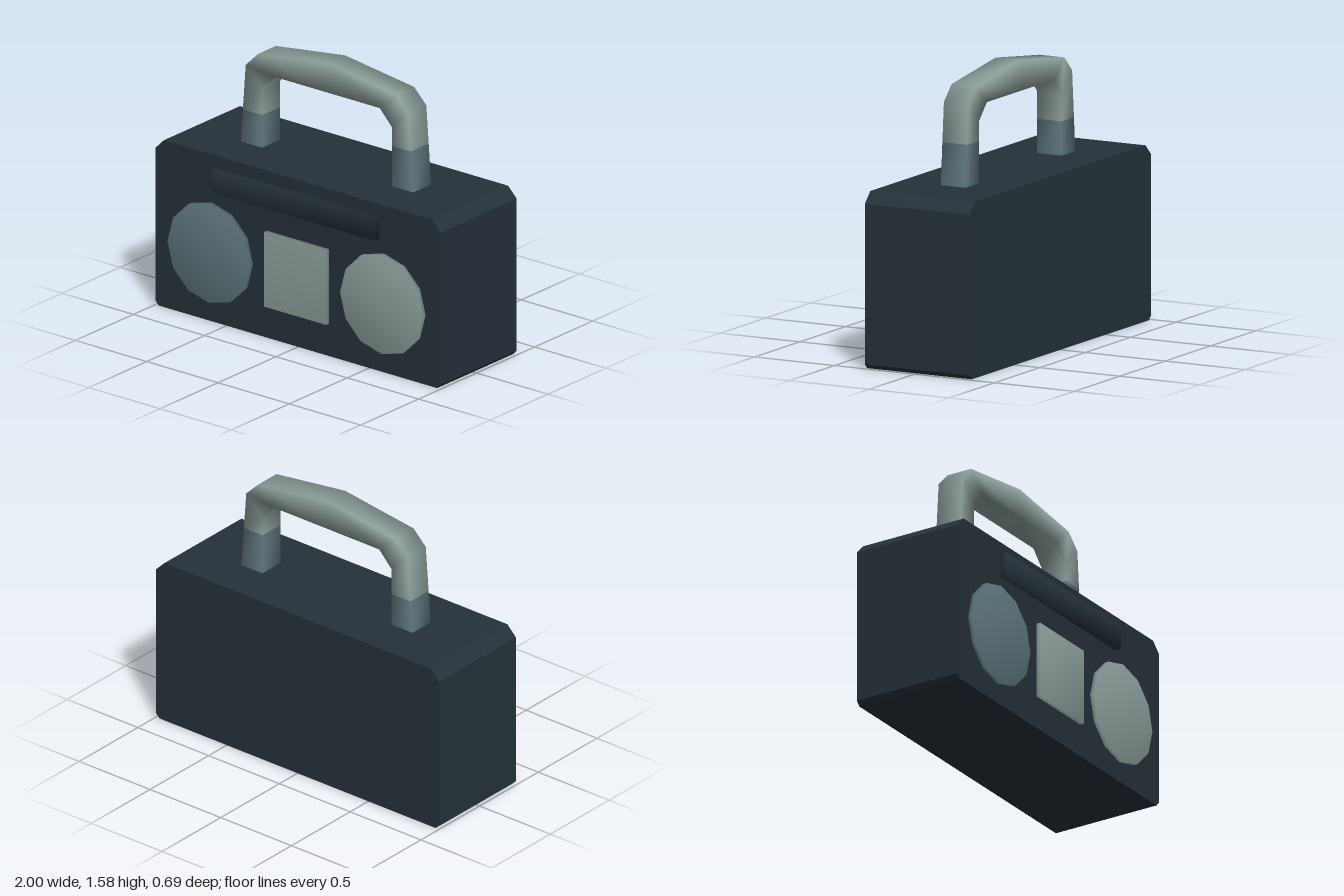
import * as THREE from 'three';
import { mergeVertices } from 'three/addons/utils/BufferGeometryUtils.js';

const paint = (name, color) => {
  const m = new THREE.MeshStandardMaterial({ color });
  m.name = name;
  return m;
};

// Share corner vertices so the normals blend over the edges
function smooth(geometry) {
  geometry.deleteAttribute('normal');
  geometry.deleteAttribute('uv');
  geometry.clearGroups();
  const merged = mergeVertices(geometry, 1e-4);
  merged.computeVertexNormals();
  return merged;
}

// Four-sided handle lofted through [inner, outer] pairs along its path
function handleGeometry(stations, zBack, zFront, materialOf) {
  const positions = [], index = [];
  for (const [ix, iy, ox, oy] of stations) {
    positions.push(ix, iy, zFront, ox, oy, zFront, ox, oy, zBack, ix, iy, zBack);
  }
  const g = new THREE.BufferGeometry();
  for (let s = 0; s < stations.length - 1; s++) {
    g.addGroup(index.length, 24, materialOf(s));
    for (let k = 0; k < 4; k++) {
      const a = s * 4 + k, b = s * 4 + (k + 1) % 4;
      index.push(a, b, b + 4, a, b + 4, a + 4);
    }
  }
  g.setAttribute('position', new THREE.Float32BufferAttribute(positions, 3));
  g.setIndex(index);
  g.computeVertexNormals();
  return g;
}

export function createModel() {
  const dark = paint('dark casing', 0x25313a);
  const slate = paint('slate blue', 0x5f787f);
  const pale = paint('pale grey', 0x8d9f9c);

  const model = new THREE.Group();
  model.name = 'portableStereo';
  const add = (name, geometry, material, x = 0, y = 0, z = 0) => {
    const mesh = new THREE.Mesh(geometry, material);
    mesh.name = name;
    mesh.position.set(x, y, z);
    model.add(mesh);
  };

  // Casing with chamfered long edges
  const outline = new THREE.Shape([
    [-0.975, 0], [0.975, 0], [1, 0.025], [1, 0.915],
    [0.94, 0.975], [-0.94, 0.975], [-1, 0.915], [-1, 0.025],
  ].map(([x, y]) => new THREE.Vector2(x, y)));
  add('casing', new THREE.ExtrudeGeometry(outline, { depth: 0.655, bevelEnabled: false }),
    dark, 0, 0, -0.345);

  // Speakers
  for (const [name, x, material] of [['rightSpeaker', -0.605, slate], ['leftSpeaker', 0.605, pale]]) {
    const disc = new THREE.CylinderGeometry(0.29, 0.29, 0.045, 12).rotateX(Math.PI / 2);
    add(name, smooth(disc), material, x, 0.405, 0.3125);
  }

  // Cassette door and control strip
  add('cassetteDoor', smooth(new THREE.BoxGeometry(0.436, 0.436, 0.045)), pale, 0, 0.407, 0.3125);
  add('controlStrip', smooth(new THREE.BoxGeometry(1.14, 0.14, 0.055)), dark, 0, 0.84, 0.3175);

  // Carrying handle: slate feet, pale grip
  const leg = (split) => [
    [0.455, 0.97, 0.605, 0.97],
    [0.455, split, 0.605 - 0.035 * (split - 0.97) / 0.46, split],
    [0.455, 1.32, 0.57, 1.43],
    [0.37, 1.41, 0.485, 1.515],
  ];
  const mirrored = leg(1.165).reverse().map(([a, b, c, d]) => [-a, b, -c, d]);
  const stations = [...leg(1.21), [0, 1.41, 0, 1.58], ...mirrored];
  add('handle', handleGeometry(stations, -0.095, 0.06,
    (s) => (s === 0 || s === stations.length - 2 ? 0 : 1)), [slate, pale]);

  return model;
}
